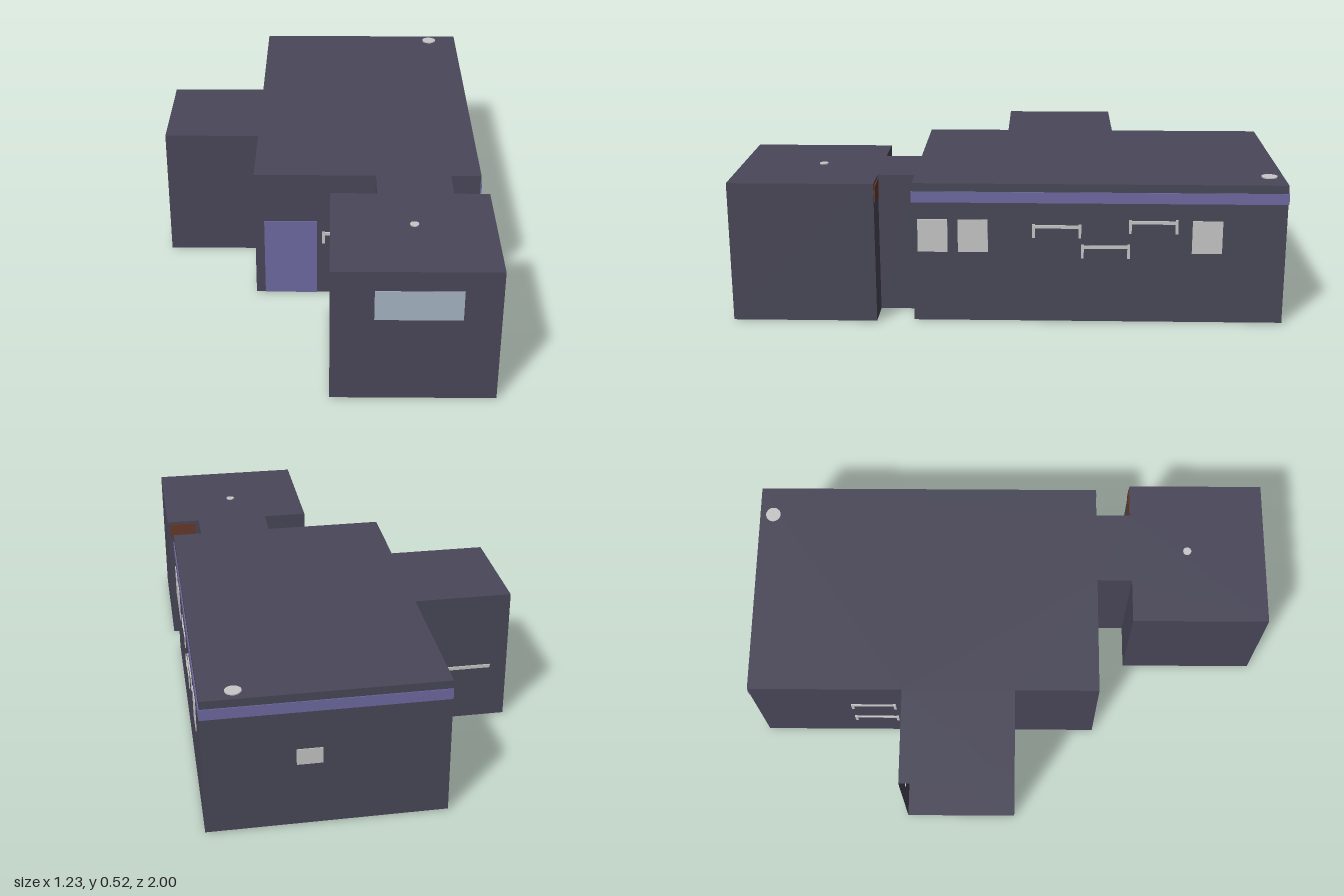
import * as THREE from 'three';

const mat = (name, color, side = THREE.FrontSide) => {
  const m = new THREE.MeshStandardMaterial({ color, side });
  m.name = name;
  return m;
};

export function createModel() {
  const root = new THREE.Group();
  root.name = 'roomBlock';
  const wallMat = mat('slate wall', 0x4a4859, THREE.DoubleSide);
  const purple = mat('muted purple', 0x706ba4);
  const glass = mat('pale blue glass', 0xa6b6c6);
  const grey = mat('light grey', 0xc8c8c8);
  const brown = mat('dark brown', 0x6a3b2c);

  const add = (name, geo, material, parent = root) => {
    const m = new THREE.Mesh(geo, material);
    m.name = name;
    parent.add(m);
    return m;
  };
  // Box given by its extents on each axis
  const block = (name, material, [x0, x1], [y0, y1], [z0, z1], parent) => {
    const m = add(name, new THREE.BoxGeometry(x1 - x0, y1 - y0, z1 - z0), material, parent);
    m.position.set((x0 + x1) / 2, (y0 + y1) / 2, (z0 + z1) / 2);
    return m;
  };

  // Floor plan as x, z corners: front room, passage, main room, side alcove
  const H = 0.52, FLOOR = 0.003;
  const plan = [
    [-0.615, 0.02], [-0.25, 0.02], [-0.25, 0.34], [0.205, 0.34], [0.205, 0.475],
    [0.035, 0.475], [0.035, 1], [0.615, 1], [0.615, 0.475], [0.485, 0.475],
    [0.485, 0.34], [0.597, 0.34], [0.597, -0.997], [-0.25, -0.997], [-0.25, -0.41], [-0.615, -0.41],
  ];
  const shape = new THREE.Shape(plan.map(([x, z]) => new THREE.Vector2(x, -z)));
  for (const [name, y] of [['floor', FLOOR], ['ceiling', H]]) {
    add(name, new THREE.ShapeGeometry(shape).rotateX(-Math.PI / 2), wallMat).position.y = y;
  }
  // One wall per plan edge; the alcove end stays open
  for (let i = 0; i < plan.length - 1; i++) {
    const [x0, z0] = plan[i], [x1, z1] = plan[i + 1];
    const wall = add('wall', new THREE.PlaneGeometry(Math.hypot(x1 - x0, z1 - z0), H - FLOOR), wallMat);
    wall.position.set((x0 + x1) / 2, (H + FLOOR) / 2, (z0 + z1) / 2);
    wall.rotation.y = -Math.atan2(z1 - z0, x1 - x0);
  }

  // Front window and entrance door
  block('frontWindow', glass, [0.185, 0.485], [0.33, 0.445], [0.996, 1.002]);
  block('door', purple, [-0.215, -0.015], [0.003, 0.322], [0.337, 0.344]);

  // Purple stripe round the side and back
  block('sideStripe', purple, [0.595, 0.6], [0.45, 0.49], [-1, 0.345]);
  block('backStripe', purple, [-0.25, 0.6], [0.45, 0.49], [-1, -0.995]);

  // Side and back panels
  for (const z of [0.215, 0.07, -0.77]) {
    block('sidePanel', grey, [0.594, 0.6], [0.265, 0.387], [z, z + 0.108]);
  }
  block('backPanel', grey, [0.19, 0.28], [0.245, 0.305], [-1, -0.994]);

  // Grab bars: a rail between two end brackets, laid out along local x
  const grabBar = (x, y, z, turn) => {
    const g = new THREE.Group();
    g.name = 'grabBar';
    block('rail', grey, [-0.085, 0.085], [-0.006, 0.006], [-0.004, 0.004], g);
    for (const s of [-1, 1]) {
      block('bracket', grey, [s * 0.083 - 0.005, s * 0.083 + 0.005], [-0.042, 0.01], [-0.004, 0.004], g);
    }
    g.position.set(x, y, z);
    g.rotation.y = turn;
    root.add(g);
  };
  const Q = Math.PI / 2;
  grabBar(0.597, 0.362, -0.177, Q);
  grabBar(0.597, 0.287, -0.353, Q);
  grabBar(0.597, 0.38, -0.523, Q);
  grabBar(-0.251, 0.33, -0.535, -Q);
  grabBar(-0.251, 0.18, -0.535, -Q);
  grabBar(0.093, 0.267, 0.341, 0);
  block('alcoveRail', grey, [-0.55, -0.3], [0.214, 0.227], [-0.414, -0.406]);

  // Roof discs
  for (const [x, z, r] of [[0.48, -0.945, 0.029], [0.33, 0.695, 0.016]]) {
    add('roofDisc', new THREE.CylinderGeometry(r, r, 0.006, 20), grey).position.set(x, H + 0.001, z);
  }

  // Inlays showing through the floor
  const inlay = (name, m, xs, zs) => block(name, m, xs, [0, 0.006], zs);
  inlay('benchBase', grey, [0.5, 0.59], [-0.69, -0.4]);
  inlay('cornerBase', grey, [0.045, 0.12], [0.91, 0.99]);
  inlay('mat', purple, [-0.24, 0], [-0.99, -0.87]);
  inlay('mat', purple, [-0.24, 0.05], [-0.6, -0.48]);
  inlay('cabinetBase', brown, [0.46, 0.605], [0.72, 0.98]);
  inlay('shelfBase', brown, [0.4, 0.605], [0.5, 0.63]);
  const ring = add('floorRing', new THREE.TorusGeometry(0.28, 0.003, 4, 48).rotateX(Q), wallMat);
  ring.position.set(0.2, 0.003, -0.11);

  // Wooden shelf end on the back of the front room
  block('shelfEnd', brown, [0.5, 0.605], [0.45, 0.51], [0.471, 0.478]);

  return root;
}
